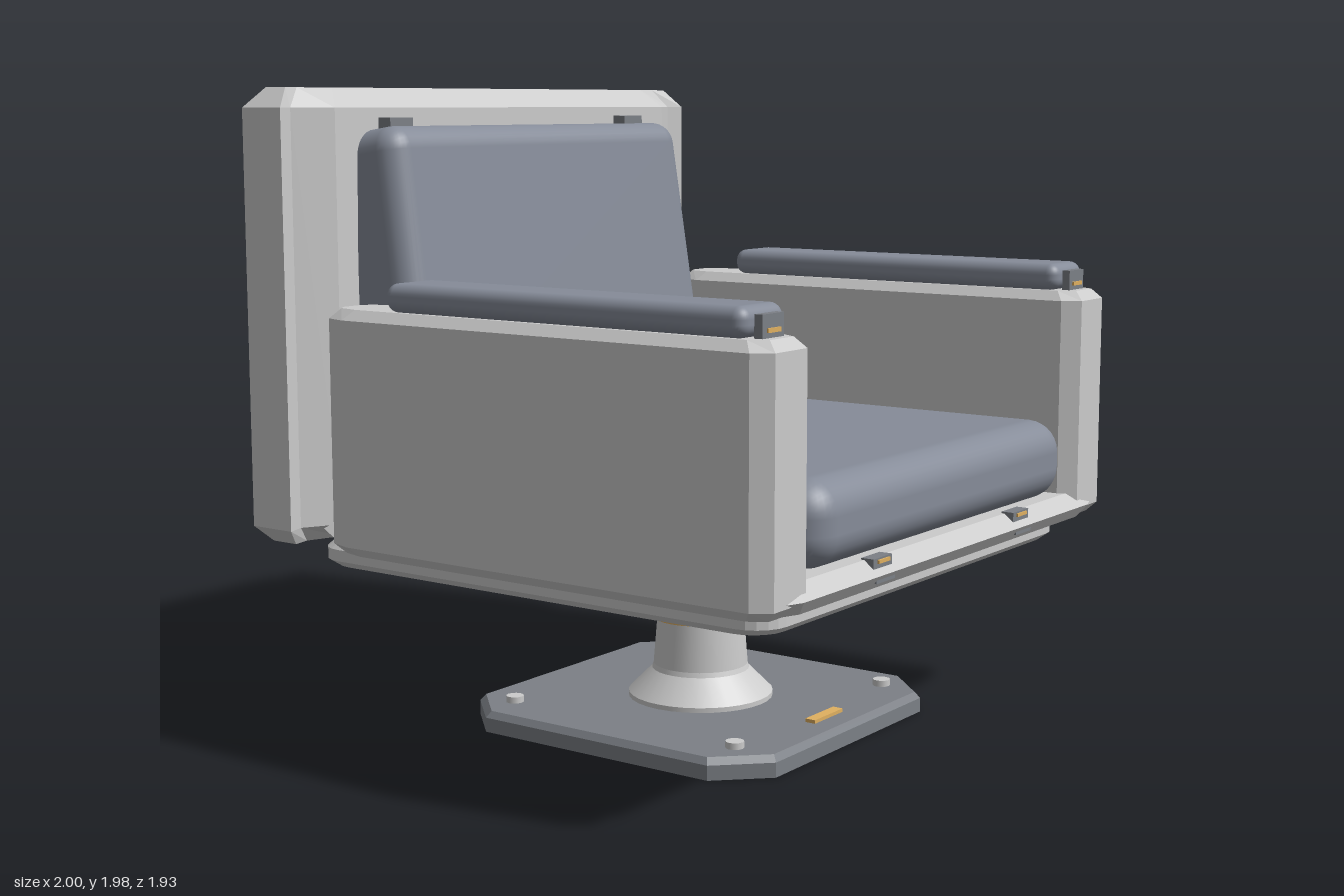
import * as THREE from 'three';
import { RoundedBoxGeometry } from 'three/addons/geometries/RoundedBoxGeometry.js';

const mat = (color) => new THREE.MeshStandardMaterial({ color });
const shell = mat(0xcccccc);
const fabric = mat(0x868c99);
const dark = mat(0x7c8086);
const gold = mat(0xe0b060);

// Stack a plan outline (x, z points) through levels of [y, inset]
function prism(plan, levels) {
  const hx = Math.max(...plan.map((p) => Math.abs(p[0])));
  const hz = Math.max(...plan.map((p) => Math.abs(p[1])));
  const shape = new THREE.Shape(plan.map(([x, z]) => new THREE.Vector2(x, -z)));
  const steps = levels.length - 1;
  const geo = new THREE.ExtrudeGeometry(shape, { depth: steps, steps, bevelEnabled: false });
  geo.rotateX(-Math.PI / 2);
  const pos = geo.attributes.position;
  for (let i = 0; i < pos.count; i++) {
    const [y, inset] = levels[Math.round(pos.getY(i))];
    pos.setXYZ(i, pos.getX(i) * (1 - inset / hx), y, pos.getZ(i) * (1 - inset / hz));
  }
  geo.computeVertexNormals();
  return geo;
}

// Mirror a right-hand outline, listed back to front, into a closed plan
const mirrorPlan = (half) => [...half, ...half.map(([x, z]) => [-x, z]).reverse()];

// Half outline of a rectangle with rounded corners
function roundedHalf(hx, hz, r, n) {
  const pts = [];
  for (const s of [-1, 1]) {
    for (let i = 0; i <= n; i++) {
      const a = ((s < 0 ? i - n : i) / n) * (Math.PI / 2);
      pts.push([hx - r + r * Math.cos(a), s * (hz - r) + r * Math.sin(a)]);
    }
  }
  return pts;
}

export function createModel() {
  const model = new THREE.Group();

  function add(name, geometry, material, x = 0, y = 0, z = 0, parent = model) {
    const mesh = new THREE.Mesh(geometry, material);
    mesh.name = name;
    mesh.position.set(x, y, z);
    parent.add(mesh);
    return mesh;
  }
  const box = (name, w, h, d, material, x, y, z, parent) =>
    add(name, new THREE.BoxGeometry(w, h, d), material, x, y, z, parent);

  // Floor plate with cut corners, bolts and marker
  const cz = 0.035;
  const plate = mirrorPlan([[0.42, -0.565], [0.56, -0.42], [0.56, 0.42], [0.42, 0.565]]);
  add('floorPlate', prism(plate, [[0, 0], [0.045, 0], [0.065, 0.015]]), dark, 0, 0, cz);
  for (const x of [-0.42, 0.42]) {
    for (const z of [-0.42, 0.42]) {
      add('plateBolt', new THREE.CylinderGeometry(0.028, 0.028, 0.03, 12), shell, x, 0.07, cz + z);
    }
  }
  box('plateMarker', 0.16, 0.012, 0.035, gold, 0, 0.07, 0.5);

  // Pedestal column
  const profile = [
    [0.23, 0.06], [0.23, 0.08], [0.155, 0.155], [0.15, 0.17], [0.138, 0.32],
    [0.135, 0.42], [0.16, 0.46],
  ];
  // Each straight run is its own lathe, so the edges between them stay sharp
  const column = new THREE.Group();
  column.name = 'column';
  model.add(column);
  for (let i = 0; i < profile.length - 1; i++) {
    const run = [profile[i], profile[i + 1]].map(([r, y]) => new THREE.Vector2(r, y));
    add('columnSection', new THREE.LatheGeometry(run, 32), shell, 0, 0, cz, column);
  }
  add('columnRing', new THREE.CylinderGeometry(0.155, 0.155, 0.05, 32), gold, 0, 0.345, cz);
  const bead = add('columnRingBead', new THREE.TorusGeometry(0.135, 0.025, 10, 32), gold, 0, 0.345, cz);
  bead.rotation.x = Math.PI / 2;

  // Swivel flange under the seat
  add('swivelFlange', new THREE.CylinderGeometry(0.29, 0.29, 0.04, 32), dark, 0, 0.505, cz);
  add('swivelFlangeTaper', new THREE.CylinderGeometry(0.29, 0.26, 0.03, 32), dark, 0, 0.47, cz);
  add('swivelHub', new THREE.CylinderGeometry(0.24, 0.24, 0.03, 32), shell, 0, 0.53, cz);

  // Seat pan and tray
  const pan = mirrorPlan(roundedHalf(0.87, 0.83, 0.1, 5));
  add('seatPan', prism(pan, [[0.534, 0.025], [0.555, 0], [0.59, 0], [0.615, 0.02]]), shell, 0, 0, 0.03);
  const tray = mirrorPlan([
    [0.85, -0.875], [0.96, -0.71], [0.98, 0.78], [0.94, 0.84], [0.85, 0.875],
  ]);
  add('seatTray', prism(tray, [[0.61, 0.03], [0.65, 0], [0.69, 0.05]]), shell, 0, 0, 0.09);

  // Backrest panel with pinched side edges
  const panel = mirrorPlan([
    [0.8, -0.123], [0.94, -0.075], [1, -0.08], [1, 0.08], [0.94, 0.06], [0.82, 0.123],
  ]);
  const panelLevels = [[0.61, 0.05], [0.66, 0], [1.92, 0], [1.98, 0.06]];
  add('backPanel', prism(panel, panelLevels), shell, 0, 0, -0.842);

  // Seat cushion
  add('seatCushion', new RoundedBoxGeometry(1.49, 0.25, 1.54, 4, 0.1), fabric, 0, 0.815, 0.17);

  // Reclined back cushion, slightly narrower at the top
  const backGeo = new RoundedBoxGeometry(1.49, 0.91, 0.27, 4, 0.075);
  const bp = backGeo.attributes.position;
  for (let i = 0; i < bp.count; i++) bp.setX(i, bp.getX(i) * (0.988 - 0.026 * bp.getY(i)));
  const back = add('backCushion', backGeo, fabric, 0, 1.405, -0.645);
  back.rotation.x = -0.149;

  // Paired parts
  const armPlan = mirrorPlan([
    [0.05, -0.7875], [0.09, -0.765], [0.115, -0.69], [0.115, 0.735], [0.075, 0.7875],
  ]);
  const armLevels = [[0.61, 0.03], [0.64, 0], [1.31, 0], [1.34, 0.03]];
  for (const s of [-1, 1]) {
    const arm = new THREE.Group();
    arm.name = s > 0 ? 'leftArm' : 'rightArm';
    arm.position.x = s * 0.885;
    model.add(arm);
    add('armPanel', prism(armPlan, armLevels), shell, 0, 0, 0.1575, arm);
    add('armPad', new RoundedBoxGeometry(0.205, 0.084, 1.244, 4, 0.035), fabric, 0, 1.382, 0.242, arm);
    box('padClip', 0.1, 0.065, 0.025, dark, 0, 1.37, 0.876, arm);
    box('padClipMarker', 0.06, 0.012, 0.008, gold, 0, 1.36, 0.89, arm);

    // Cushion clips on the tray front and behind the back cushion
    box('seatClip', 0.1, 0.03, 0.04, dark, s * 0.415, 0.68, 0.925);
    box('seatClipMarker', 0.06, 0.01, 0.012, gold, s * 0.415, 0.685, 0.945);
    box('traySlot', 0.1, 0.01, 0.02, dark, s * 0.415, 0.632, 0.945);
    box('backClip', 0.1, 0.05, 0.06, dark, s * 0.585, 1.865, -0.7);
  }

  return model;
}
